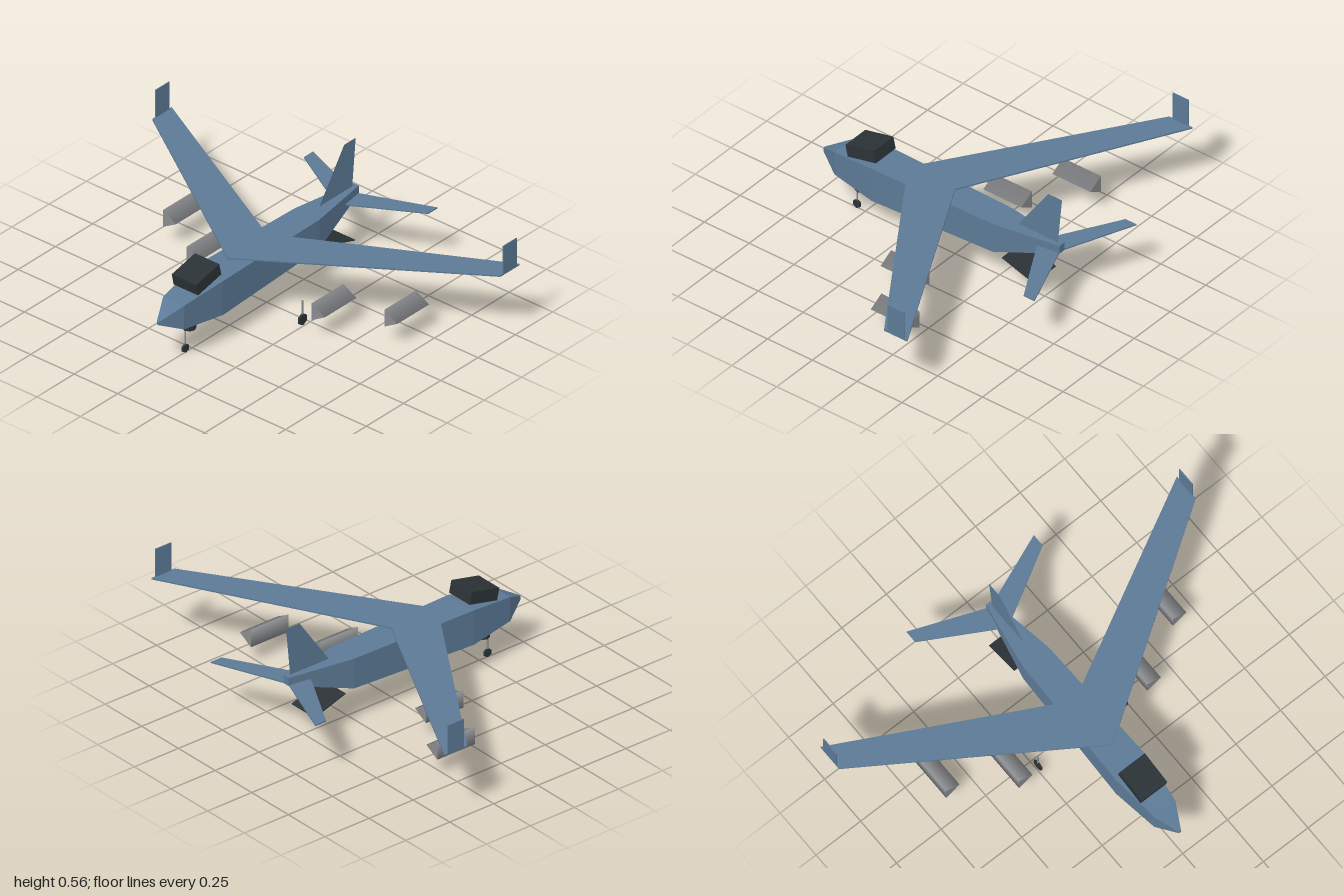
import * as THREE from 'three';

function material(name, color, extra = {}) {
  const m = new THREE.MeshStandardMaterial({ color, ...extra });
  m.name = name;
  return m;
}

// Square-section body lofted through [z, halfWidth, bottom, top] stations, nose to tail
function loftBody(stations) {
  const rings = stations.map(([z, w, b, t]) => [[-w, b, z], [w, b, z], [w, t, z], [-w, t, z]]);
  const pos = [];
  const quad = (a, b, c, d) => [a, b, c, a, c, d].forEach(p => pos.push(...p));
  for (let i = 0; i < rings.length - 1; i++) {
    const f = rings[i], r = rings[i + 1];
    for (let j = 0; j < 4; j++) {
      const k = (j + 1) % 4;
      quad(f[j], r[j], r[k], f[k]);
    }
  }
  const n = rings[0], t = rings[rings.length - 1];
  quad(n[0], n[1], n[2], n[3]);
  quad(t[3], t[2], t[1], t[0]);
  const g = new THREE.BufferGeometry();
  g.setAttribute('position', new THREE.Float32BufferAttribute(pos, 3));
  g.computeVertexNormals();
  return g;
}

// Thin swept surface: root and tip leading / trailing z
function sweptPlate(span, rootLead, rootTrail, tipLead, tipTrail, thickness) {
  const pts = [[0, rootLead], [span, tipLead], [span, tipTrail], [0, rootTrail], [-span, tipTrail], [-span, tipLead]];
  const shape = new THREE.Shape(pts.map(([x, z]) => new THREE.Vector2(x, -z)));
  const g = new THREE.ExtrudeGeometry(shape, { depth: thickness, bevelEnabled: false });
  g.rotateX(-Math.PI / 2);
  g.translate(0, -thickness / 2, 0);
  return g;
}

export function createModel() {
  const group = new THREE.Group();
  group.name = 'aircraft';
  const blue = material('blueGrey paint', 0x5c7a96, { side: THREE.DoubleSide });
  const dark = material('dark trim', 0x2b3236);
  const grey = material('pod grey', 0x8a8c8f);
  blue.flatShading = true;
  dark.flatShading = true;

  const add = (name, geo, mat, x = 0, y = 0, z = 0, rx = 0) => {
    const m = new THREE.Mesh(geo, mat);
    m.name = name;
    m.position.set(x, y, z);
    m.rotation.x = rx;
    group.add(m);
    return m;
  };

  // Fuselage
  add('fuselage', loftBody([
    [0.73, 0.006, 0.226, 0.242],
    [0.625, 0.06, 0.177, 0.298],
    [0.395, 0.088, 0.155, 0.329],
    [-0.27, 0.072, 0.175, 0.325],
    [-0.597, 0.018, 0.284, 0.325],
  ]), blue);

  // Wings, winglets and tail
  add('wing', sweptPlate(1, 0.263, 0, -0.4, -0.53, 0.007), blue, 0, 0.347, 0);
  add('tailplane', sweptPlate(0.357, -0.465, -0.587, -0.667, -0.728, 0.006), blue, 0, 0.285, 0);
  for (const s of [-1, 1]) {
    add(s > 0 ? 'leftWinglet' : 'rightWinglet', new THREE.BoxGeometry(0.005, 0.145, 0.09), blue, s * 0.9975, 0.418, -0.465);
  }
  const fin = new THREE.ShapeGeometry(new THREE.Shape(
    [[-0.355, 0.325], [-0.574, 0.325], [-0.597, 0.563], [-0.52, 0.563]].map(p => new THREE.Vector2(...p))
  ));
  fin.rotateY(-Math.PI / 2);
  add('fin', fin, blue);

  // Canopy block, sensor ball and lowered rear ramp
  add('canopy', new THREE.BoxGeometry(0.14, 0.06, 0.16), dark, 0, 0.364, 0.471, 0.22);
  add('sensorBall', new THREE.SphereGeometry(0.036, 8, 3), dark, 0, 0.13, 0.52);
  add('rearRamp', new THREE.BoxGeometry(0.157, 0.005, 0.184), dark, 0, 0.144, -0.412, -0.315);

  // Three-sided pods under the wings
  const pod = new THREE.CylinderGeometry(0.05, 0.05, 0.213, 3, 1, false, Math.PI / 2);
  pod.rotateX(Math.PI / 2);
  for (const s of [-1, 1]) {
    add('innerPod', pod, grey, s * 0.36, 0.128, -0.017);
    add('outerPod', pod, grey, s * 0.636, 0.128, -0.182);
  }

  // Landing gear: strut with a six-sided wheel
  const gear = (name, x, z, radius) => {
    const top = 0.125;
    add(name + 'Strut', new THREE.CylinderGeometry(0.004, 0.004, top - radius, 6), grey, x, (top + radius) / 2, z);
    const wheel = new THREE.CylinderGeometry(radius, radius, 0.011, 6, 1, false, Math.PI / 2);
    wheel.rotateZ(Math.PI / 2);
    add(name + 'Wheel', wheel, dark, x, radius, z);
  };
  gear('nose', 0, 0.546, 0.021);
  gear('leftMain', 0.24, 0.041, 0.028);
  gear('rightMain', -0.24, 0.041, 0.028);

  return group;
}
